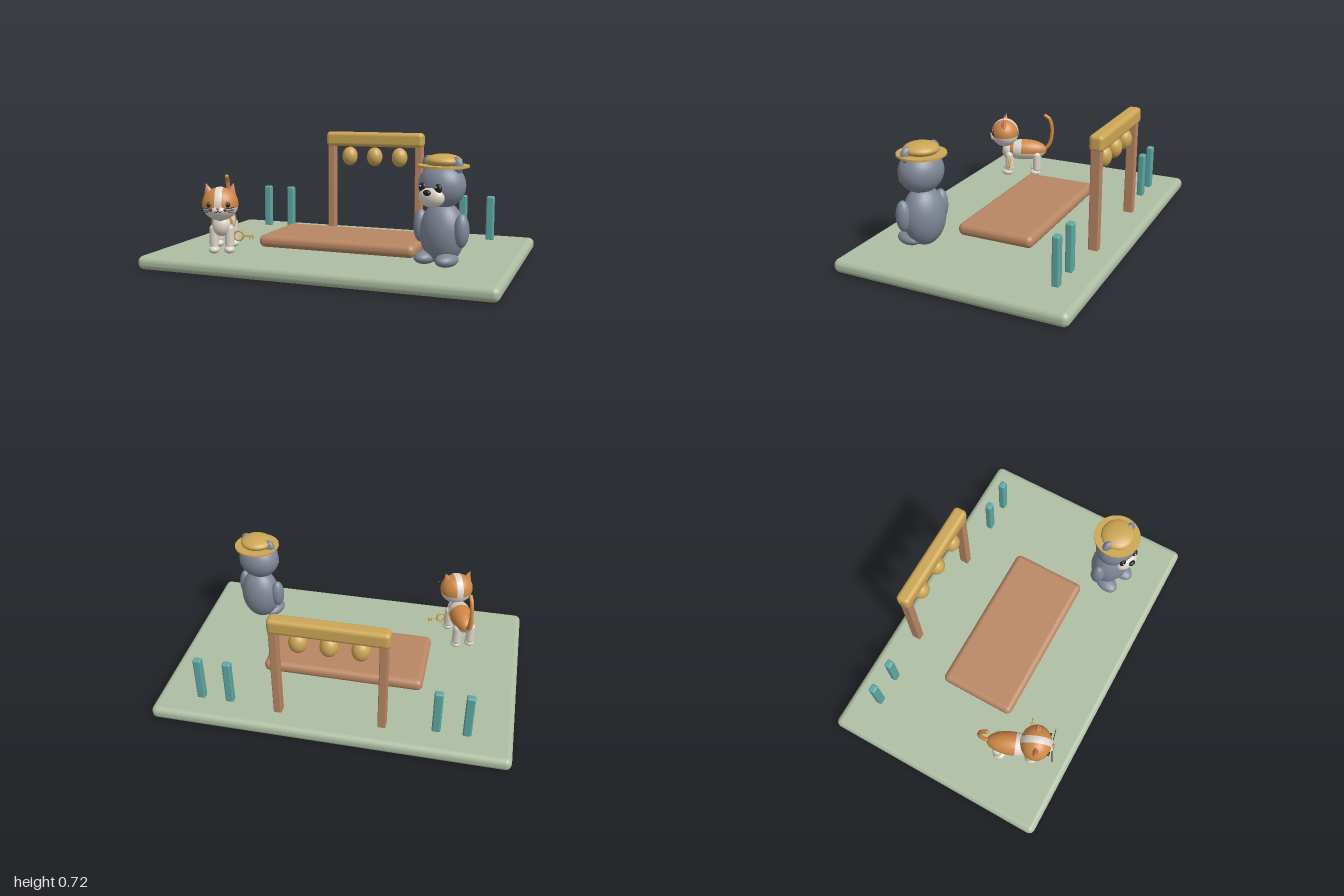
import * as THREE from 'three';
import { RoundedBoxGeometry } from 'three/addons/geometries/RoundedBoxGeometry.js';

const mat = (name, color, side = THREE.FrontSide) => {
  const m = new THREE.MeshStandardMaterial({ color, side });
  m.name = name;
  return m;
};

export function createModel() {
  const sage = mat('sage green', 0xadbda1);
  const wood = mat('brown wood', 0xb98763);
  const gold = mat('straw gold', 0xcca655);
  const teal = mat('teal', 0x5ea8a3);
  const grey = mat('slate grey', 0x7f8797);
  const orange = mat('ginger', 0xcf8846, THREE.DoubleSide);
  const cream = mat('cream', 0xded5ca, THREE.DoubleSide);
  const dark = mat('near black', 0x232326);
  const pink = mat('pink', 0xc97f88);

  const root = new THREE.Group();
  root.name = 'gardenStage';

  const add = (parent, name, geo, material, x = 0, y = 0, z = 0) => {
    const m = new THREE.Mesh(geo, material);
    m.name = name;
    m.position.set(x, y, z);
    parent.add(m);
    return m;
  };
  const box = (parent, name, material, size, pos, r) =>
    add(parent, name, new RoundedBoxGeometry(...size, 4, r), material, ...pos);
  const ball = (parent, name, material, radii, pos) =>
    add(parent, name, new THREE.SphereGeometry(1, 32, 20).scale(...radii), material, ...pos);
  const tube = (parent, name, material, points, r) => {
    const curve = new THREE.CatmullRomCurve3(points.map(p => new THREE.Vector3(...p)));
    return add(parent, name, new THREE.TubeGeometry(curve, 24, r, 8), material);
  };

  // Platform and low table
  box(root, 'platform', sage, [2, 0.077, 1.33], [0, 0.0415, 0], 0.034);
  box(root, 'lowTable', wood, [0.935, 0.072, 0.455], [-0.002, 0.119, -0.003], 0.033);

  // Lantern frame
  for (const s of [-1, 1])
    box(root, 'framePost', wood, [0.045, 0.57, 0.056], [s * 0.292, 0.36, -0.52], 0.006);
  box(root, 'frameBeam', gold, [0.645, 0.092, 0.08], [-0.002, 0.674, -0.52], 0.024);
  for (const x of [-0.168, 0, 0.166])
    ball(root, 'lantern', gold, [0.05, 0.06, 0.048], [x, 0.565, -0.508]);

  // Teal posts on both sides
  for (const x of [-0.752, -0.585, 0.581, 0.749])
    box(root, 'tealPost', teal, [0.048, 0.27, 0.04], [x, 0.211, -0.5], 0.01);

  // Bear
  const bear = new THREE.Group();
  bear.name = 'bear';
  bear.position.set(0.642, 0, 0.315);
  bear.rotation.y = -0.35;
  root.add(bear);
  ball(bear, 'bearBody', grey, [0.122, 0.166, 0.106], [0, 0.26, 0]);
  ball(bear, 'bearHead', grey, [0.127, 0.118, 0.112], [0, 0.508, 0.01]);
  ball(bear, 'bearSnout', cream, [0.074, 0.053, 0.045], [0, 0.455, 0.105]);
  ball(bear, 'bearNose', dark, [0.022, 0.015, 0.014], [0, 0.481, 0.146]);
  for (const s of [-1, 1]) {
    ball(bear, 'bearEye', dark, [0.021, 0.024, 0.014], [s * 0.047, 0.503, 0.115]);
    ball(bear, 'bearEyeGlint', cream, [0.005, 0.005, 0.004], [s * 0.047 - 0.007, 0.511, 0.127]);
    ball(bear, 'bearEar', grey, [0.04, 0.046, 0.025], [s * 0.082, 0.612, 0.01]);
    ball(bear, 'bearArm', grey, [0.038, 0.087, 0.042], [s * 0.125, 0.285, 0.015]);
    ball(bear, 'bearFoot', grey, [0.052, 0.035, 0.078], [s * 0.065, 0.131, 0.055]);
  }

  // Straw hat
  add(bear, 'hatBrim', new THREE.CylinderGeometry(0.133, 0.133, 0.011, 48), gold, 0, 0.606, 0);
  ball(bear, 'hatCrown', gold, [0.097, 0.037, 0.094], [0, 0.632, 0]);

  // Cat
  const cat = new THREE.Group();
  cat.name = 'cat';
  cat.position.set(-0.625, 0, 0.34);
  cat.rotation.y = 0.37;
  root.add(cat);

  // Ellipsoid with a ginger upper and a cream lower part
  const twoTone = (name, radii, pos, split) => {
    const part = (t0, len) => new THREE.SphereGeometry(1, 32, 16, 0, Math.PI * 2, t0, len).scale(...radii);
    add(cat, name + 'Upper', part(0, split), orange, ...pos);
    add(cat, name + 'Lower', part(split, Math.PI - split), cream, ...pos);
  };
  twoTone('catBody', [0.067, 0.068, 0.145], [0, 0.25, -0.01], 1.75);
  twoTone('catHead', [0.1, 0.093, 0.088], [0, 0.366, 0.125], 1.75);

  // Pale blaze over the head and saddle band over the back
  const blaze = new THREE.SphereGeometry(1, 32, 6, 0, Math.PI * 2, Math.PI / 2 - 0.2, 0.4)
    .rotateZ(Math.PI / 2).scale(0.1, 0.095, 0.09);
  add(cat, 'catBlaze', blaze, cream, 0, 0.366, 0.125);
  const saddle = new THREE.SphereGeometry(1, 32, 6, 0, Math.PI * 2, Math.PI / 2 - 0.55, 0.4)
    .rotateX(Math.PI / 2).scale(0.069, 0.07, 0.147);
  add(cat, 'catSaddle', saddle, cream, 0, 0.25, -0.01);
  ball(cat, 'catChest', cream, [0.052, 0.06, 0.045], [0, 0.24, 0.1]);

  // Cat face
  ball(cat, 'catMuzzle', cream, [0.04, 0.026, 0.022], [0, 0.338, 0.202]);
  ball(cat, 'catNose', pink, [0.01, 0.007, 0.007], [0, 0.354, 0.222]);
  for (const s of [-1, 1]) {
    ball(cat, 'catEye', dark, [0.014, 0.016, 0.009], [s * 0.05, 0.371, 0.198]);
    ball(cat, 'catEyeGlint', cream, [0.004, 0.004, 0.003], [s * 0.05 - 0.004, 0.377, 0.206]);
    tube(cat, 'catMouth', dark, [[0, 0.343, 0.223], [s * 0.009, 0.332, 0.223], [s * 0.02, 0.336, 0.221]], 0.0025);
    for (const i of [-1, 0, 1])
      tube(cat, 'catWhisker', dark, [[s * 0.032, 0.343 + i * 0.006, 0.218], [s * 0.088, 0.347 + i * 0.013, 0.225]], 0.002);

    // Ears with pink lining
    const ear = new THREE.Group();
    ear.name = 'catEar';
    ear.position.set(s * 0.066, 0.446, 0.125);
    ear.rotation.z = -s * 0.3;
    cat.add(ear);
    add(ear, 'earShell', new THREE.ConeGeometry(0.037, 0.075, 20).scale(1, 1, 0.55), orange);
    add(ear, 'earLining', new THREE.ConeGeometry(0.027, 0.056, 20).scale(1, 1, 0.5), pink, 0, -0.005, 0.011);

    // Legs and paws
    for (const z of [0.095, -0.09]) {
      add(cat, 'catLeg', new THREE.CapsuleGeometry(0.026, 0.09, 6, 16), cream, s * 0.043, 0.175, z);
      ball(cat, 'catPaw', cream, [0.03, 0.022, 0.036], [s * 0.043, 0.104, z + 0.01]);
    }
  }

  // Raised tail
  tube(cat, 'catTail', orange,
    [[0, 0.24, -0.125], [0, 0.29, -0.172], [0, 0.39, -0.19], [0, 0.465, -0.172], [0, 0.487, -0.145]], 0.012);
  ball(cat, 'catTailTip', orange, [0.012, 0.012, 0.012], [0, 0.487, -0.145]);

  // Key held beside the front leg
  const key = new THREE.Group();
  key.name = 'key';
  key.position.set(0.094, 0.18, 0.09);
  cat.add(key);
  add(key, 'keyRing', new THREE.TorusGeometry(0.026, 0.006, 10, 28), gold);
  add(key, 'keyShaft', new THREE.CylinderGeometry(0.005, 0.005, 0.06, 12).rotateZ(Math.PI / 2), gold, 0.052, 0, 0);
  for (const x of [0.062, 0.077])
    add(key, 'keyTooth', new THREE.BoxGeometry(0.008, 0.02, 0.007), gold, x, -0.011, 0);

  return root;
}
